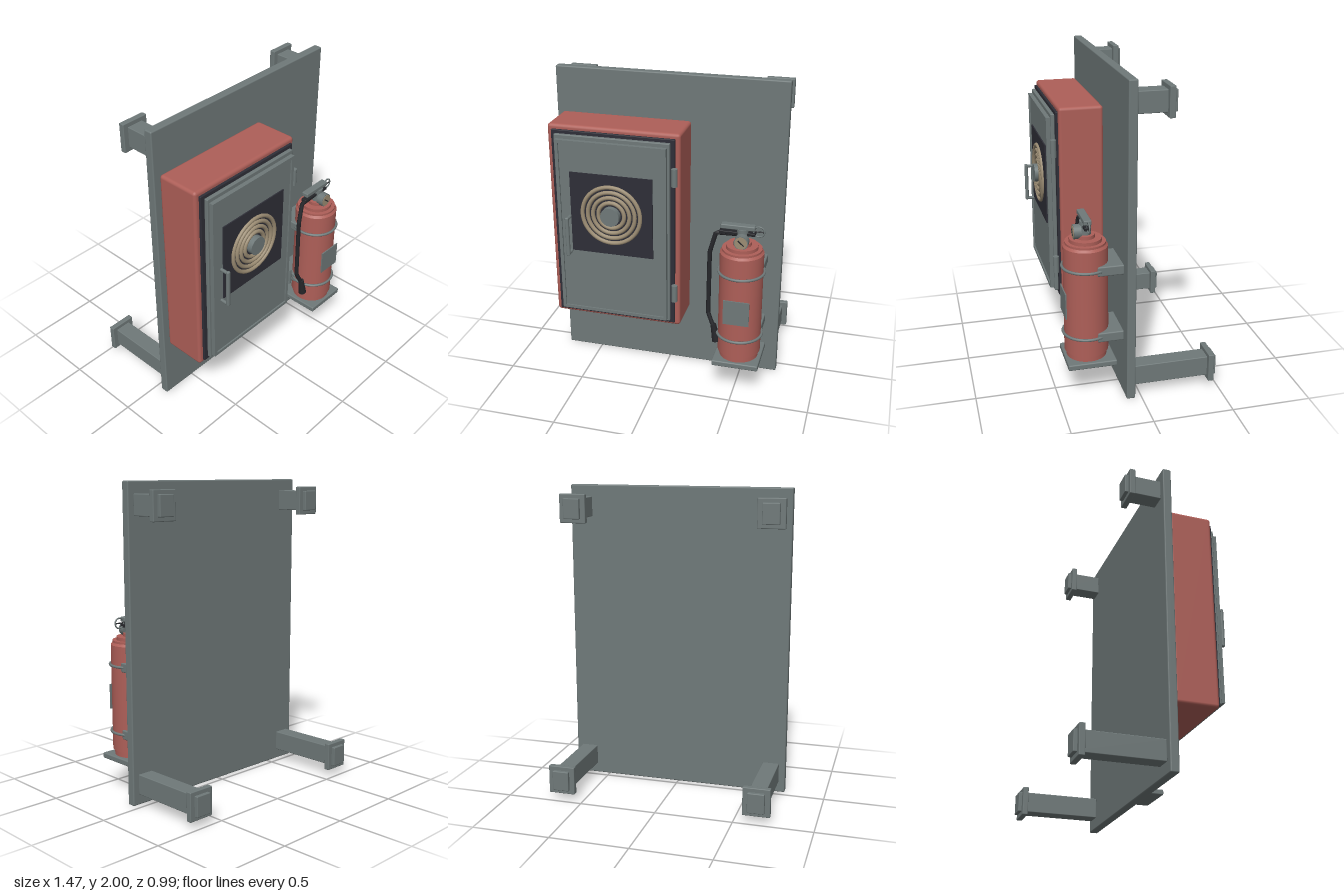
import * as THREE from 'three';
import { RoundedBoxGeometry } from 'three/addons/geometries/RoundedBoxGeometry.js';

const mat = (name, color) => {
  const m = new THREE.MeshStandardMaterial({ color });
  m.name = name;
  return m;
};

export function createModel() {
  const steel = mat('grey steel', 0x6f7979);
  const red = mat('red paint', 0xae5f58);
  const dark = mat('dark glass', 0x2e2e37);
  const black = mat('black rubber', 0x25262a);
  const tan = mat('tan hose', 0x9c8d74);

  const root = new THREE.Group();
  root.name = 'fireStation';
  const add = (parent, name, geo, material, x = 0, y = 0, z = 0) => {
    const m = new THREE.Mesh(geo, material);
    m.name = name;
    m.position.set(x, y, z);
    parent.add(m);
    return m;
  };
  const group = (name) => {
    const g = new THREE.Group();
    g.name = name;
    root.add(g);
    return g;
  };
  // Box given by its limits on each axis, with optional rounded edges
  const box = (parent, name, material, [x0, x1], [y0, y1], [z0, z1], r = 0) => {
    const s = [x1 - x0, y1 - y0, z1 - z0];
    const geo = r ? new RoundedBoxGeometry(...s, 2, r) : new THREE.BoxGeometry(...s);
    return add(parent, name, geo, material, (x0 + x1) / 2, (y0 + y1) / 2, (z0 + z1) / 2);
  };
  // Tube through straight segments
  const tube = (parent, name, material, points, radius) => {
    const path = new THREE.CurvePath();
    const p = points.map((a) => new THREE.Vector3(...a));
    for (let i = 1; i < p.length; i++) path.add(new THREE.LineCurve3(p[i - 1], p[i]));
    return add(parent, name, new THREE.TubeGeometry(path, 60, radius, 10), material);
  };

  // Back board
  box(root, 'backBoard', steel, [-0.735, 0.735], [0, 2], [0.04, 0.095], 0.008);

  // Four rear mounting posts, the lower pair longer
  const posts = group('mountingPosts');
  for (const side of [-1, 1]) {
    for (const [y, end] of [[1.86, -0.2], [0.135, -0.495]]) {
      const x = side * 0.64;
      box(posts, 'post', steel, [x - 0.054, x + 0.054], [y - 0.065, y + 0.065], [end, 0.04], 0.005);
      box(posts, 'postFlange', steel, [x - 0.087, x + 0.087], [y - 0.092, y + 0.092], [end + 0.022, end + 0.058], 0.005);
    }
  }

  // Hose cabinet
  const cabinet = group('hoseCabinet');
  box(cabinet, 'cabinetBody', red, [-0.695, 0.14], [0.425, 1.715], [0.095, 0.375], 0.02);
  box(cabinet, 'doorSeal', dark, [-0.665, 0.11], [0.45, 1.685], [0.36, 0.39], 0.004);
  box(cabinet, 'doorSlab', steel, [-0.64, 0.085], [0.475, 1.665], [0.39, 0.415], 0.005);
  box(cabinet, 'doorPanel', steel, [-0.61, 0.055], [0.505, 1.625], [0.41, 0.432]);

  // Raised door rim with a rectangular opening
  const rect = (S, x0, x1, y0, y1) => {
    const s = new S();
    s.moveTo(x0, y0).lineTo(x1, y0).lineTo(x1, y1).lineTo(x0, y1).closePath();
    return s;
  };
  const rim = rect(THREE.Shape, -0.625, 0.07, 0.49, 1.64);
  rim.holes.push(rect(THREE.Path, -0.605, 0.05, 0.51, 1.62));
  add(cabinet, 'doorRim', new THREE.ExtrudeGeometry(rim, { depth: 0.028, bevelEnabled: false }), steel, 0, 0, 0.414);

  // Window and coiled hose
  box(cabinet, 'window', dark, [-0.54, -0.015], [0.915, 1.44], [0.432, 0.44]);
  for (const r of [0.083, 0.117, 0.151, 0.185]) {
    add(cabinet, 'hoseCoil', new THREE.TorusGeometry(r, 0.013, 10, 64), tan, -0.278, 1.18, 0.442);
  }
  const hub = add(cabinet, 'hoseHub', new THREE.CylinderGeometry(0.06, 0.06, 0.04, 32), steel, -0.278, 1.18, 0.455);
  hub.rotation.x = Math.PI / 2;

  // Door handle and hinges
  tube(cabinet, 'doorHandle', steel,
    [[-0.552, 1.14, 0.43], [-0.552, 1.14, 0.484], [-0.552, 0.905, 0.484], [-0.552, 0.905, 0.43]], 0.011);
  box(cabinet, 'handleGrip', steel, [-0.564, -0.54], [0.895, 1.155], [0.476, 0.497], 0.008);
  for (const y of [0.675, 1.455]) {
    add(cabinet, 'hinge', new THREE.CylinderGeometry(0.019, 0.019, 0.112, 16), steel, 0.113, y, 0.408);
  }

  // Extinguisher support: tray, brackets and straps
  const X = 0.515, Z = 0.3;
  const support = group('extinguisherSupport');
  box(support, 'tray', steel, [0.365, 0.663], [0.205, 0.242], [0.137, 0.442], 0.008);
  for (const y of [0.4, 0.84]) {
    box(support, 'bracket', steel, [0.38, 0.648], [y - 0.031, y + 0.031], [0.09, 0.255], 0.008);
    const strap = add(support, 'strap', new THREE.TorusGeometry(0.144, 0.009, 8, 40), steel, X, y, Z);
    strap.rotation.x = Math.PI / 2;
  }

  // Stepped extinguisher bottle
  const bottle = group('extinguisher');
  const steps = [
    [0.125, 0.236, 0.285], [0.137, 0.28, 0.97], [0.125, 0.97, 0.998],
    [0.1, 0.998, 1.02], [0.058, 1.02, 1.042],
  ];
  for (const [r, y0, y1] of steps) {
    add(bottle, 'bottleSection', new THREE.CylinderGeometry(r, r, y1 - y0, 32), red, X, (y0 + y1) / 2, Z);
  }
  // Softened shoulder between the bottle wall and its cap
  add(bottle, 'shoulder', new THREE.CylinderGeometry(0.125, 0.137, 0.015, 32), red, X, 0.977, Z);
  box(bottle, 'label', steel, [0.432, 0.596], [0.525, 0.69], [0.435, 0.443]);

  // Valve and levers
  add(bottle, 'valveNeck', new THREE.CylinderGeometry(0.036, 0.036, 0.09, 20), steel, X, 1.08, Z);
  box(bottle, 'upperLever', steel, [0.38, 0.592], [1.12, 1.15], [0.275, 0.323], 0.006);
  box(bottle, 'lowerLever', black, [0.37, 0.595], [1.085, 1.105], [0.28, 0.32], 0.004);
  add(bottle, 'pullRing', new THREE.TorusGeometry(0.033, 0.005, 8, 28), steel, 0.615, 1.113, Z);
  tube(bottle, 'pullPin', black, [[0.5, 1.113, Z], [0.645, 1.113, Z]], 0.004);

  // Pressure gauge with needle
  const gauge = add(bottle, 'gaugeCase', new THREE.CylinderGeometry(0.045, 0.045, 0.045, 24), steel, 0.518, 1.06, 0.352);
  const face = add(bottle, 'gaugeFace', new THREE.CylinderGeometry(0.039, 0.039, 0.005, 24), tan, 0.518, 1.06, 0.375);
  gauge.rotation.x = face.rotation.x = Math.PI / 2;
  const needle = add(bottle, 'gaugeNeedle', new THREE.BoxGeometry(0.05, 0.007, 0.004), black, 0.518, 1.06, 0.379);
  needle.rotation.z = -0.7;

  // Discharge hose and nozzle
  tube(bottle, 'hose', black, [
    [0.48, 1.085, 0.3], [0.35, 1.083, 0.305], [0.315, 0.95, 0.315],
    [0.313, 0.52, 0.32], [0.355, 0.42, 0.335],
  ], 0.014);
  const nozzle = add(bottle, 'nozzle', new THREE.CylinderGeometry(0.018, 0.027, 0.12, 16), black, 0.362, 0.388, 0.335);
  nozzle.rotation.z = 0.18;

  return root;
}
